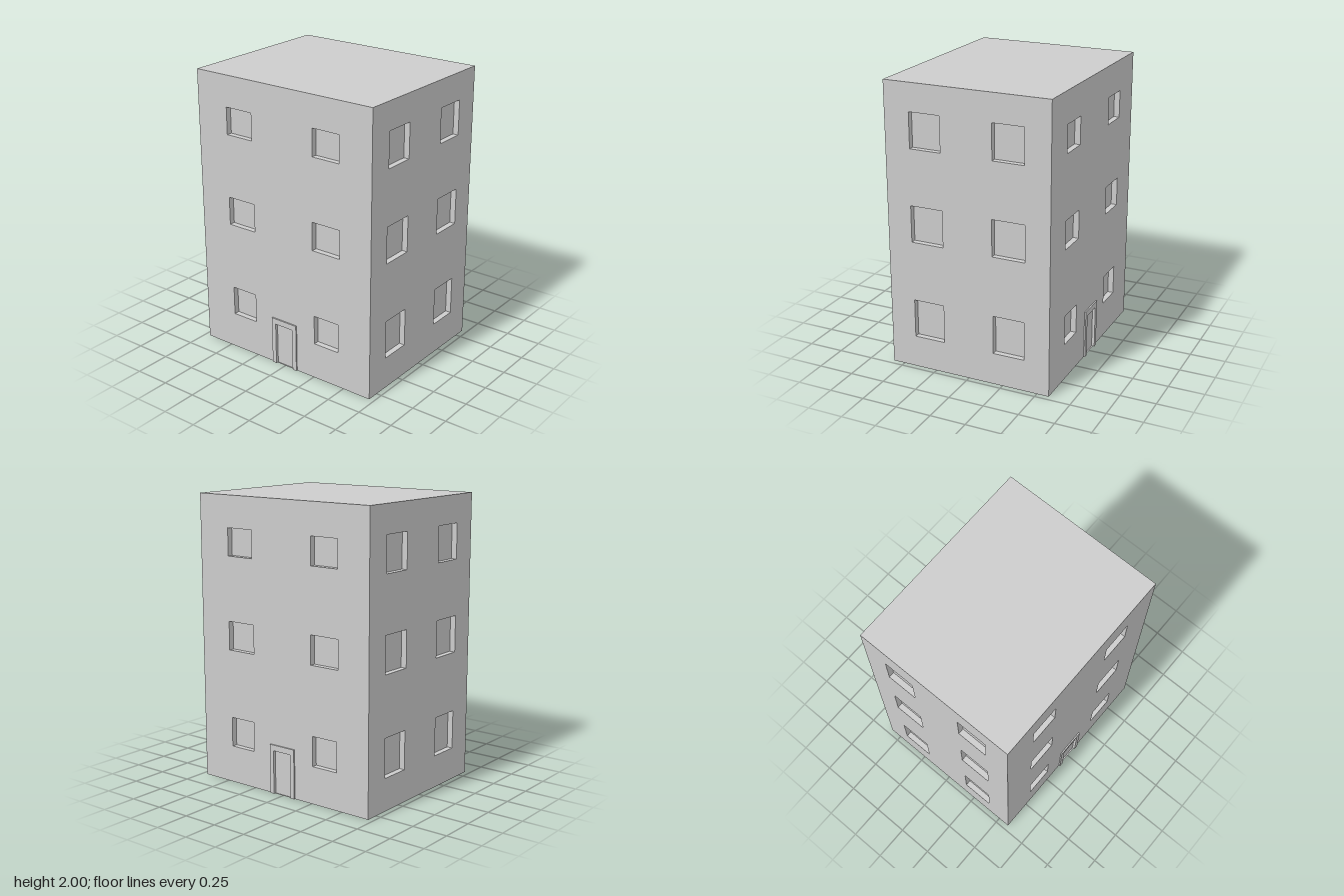
import * as THREE from 'three';

const W = 0.713, D = 0.585, H = 2; // half width, half depth, height
const RECESS = 0.04, DOOR = { x: 0.073, h: 0.305, recess: 0.01 };
const FRAME = { x: 0.105, h: 0.345, depth: 0.01 };

// Window rows: inner and outer distance from the wall's middle, bottom and top
const frontRows = [
  [0.257, 0.457, 0.26, 0.467],
  [0.246, 0.468, 0.944, 1.144],
  [0.251, 0.464, 1.591, 1.781],
];
const sideRows = [
  [0.183, 0.405, 0.226, 0.497],
  [0.178, 0.411, 0.916, 1.172],
  [0.183, 0.405, 1.562, 1.807],
];

const grey = new THREE.MeshStandardMaterial({ color: 0xcccccc });
grey.name = 'plain grey';

function mesh(name, geometry) {
  const m = new THREE.Mesh(geometry, grey);
  m.name = name;
  return m;
}

const outline = (pts) => pts.map(([x, y]) => new THREE.Vector2(x, y));

// Box turned inside out and open towards +z, sunk behind z = 0
function recess(name, x0, x1, y0, y1, depth) {
  const g = new THREE.BoxGeometry(x1 - x0, y1 - y0, depth);
  const idx = Array.from(g.index.array);
  idx.splice(24, 6);
  g.setIndex(idx.reverse());
  const n = g.attributes.normal;
  for (let i = 0; i < n.array.length; i++) n.array[i] *= -1;
  g.clearGroups();
  g.translate((x0 + x1) / 2, (y0 + y1) / 2, -depth / 2);
  return mesh(name, g);
}

// Wall facing +z with two columns of sunk windows and, if asked, a door
function wall(name, half, rows, withDoor) {
  const group = new THREE.Group();
  group.name = name;
  const notch = withDoor
    ? [[-DOOR.x, 0], [-DOOR.x, DOOR.h], [DOOR.x, DOOR.h], [DOOR.x, 0]]
    : [];
  const shape = new THREE.Shape(outline([[-half, 0], ...notch, [half, 0], [half, H], [-half, H]]));
  for (const [a, b, y0, y1] of rows) {
    for (const [x0, x1] of [[-b, -a], [a, b]]) {
      shape.holes.push(new THREE.Path(outline([[x0, y0], [x0, y1], [x1, y1], [x1, y0]])));
      group.add(recess('window', x0, x1, y0, y1, RECESS));
    }
  }
  group.add(mesh('wallFace', new THREE.ShapeGeometry(shape)));

  if (withDoor) {
    group.add(recess('door', -DOOR.x, DOOR.x, 0, DOOR.h, DOOR.recess));
    // Raised surround, open at the foot
    const surround = new THREE.Shape(outline([
      [-FRAME.x, 0], [-DOOR.x, 0], [-DOOR.x, DOOR.h], [DOOR.x, DOOR.h],
      [DOOR.x, 0], [FRAME.x, 0], [FRAME.x, FRAME.h], [-FRAME.x, FRAME.h],
    ]));
    group.add(mesh('doorFrame', new THREE.ExtrudeGeometry(surround, { depth: FRAME.depth, bevelEnabled: false })));
  }
  return group;
}

export function createModel() {
  const model = new THREE.Group();
  model.name = 'apartmentBlock';

  // Four walls, turned outwards
  [
    ['frontWall', W, frontRows, true, D],
    ['leftWall', D, sideRows, false, W],
    ['backWall', W, frontRows, true, D],
    ['rightWall', D, sideRows, false, W],
  ].forEach(([name, half, rows, door, distance], i) => {
    const w = wall(name, half, rows, door);
    const angle = (i * Math.PI) / 2;
    w.rotation.y = angle;
    w.position.set(Math.sin(angle) * distance, 0, Math.cos(angle) * distance);
    model.add(w);
  });

  // Flat roof and underside
  const roof = mesh('roof', new THREE.PlaneGeometry(2 * W, 2 * D));
  roof.rotation.x = -Math.PI / 2;
  roof.position.y = H;
  const base = mesh('underside', new THREE.PlaneGeometry(2 * W, 2 * D));
  base.rotation.x = Math.PI / 2;
  model.add(roof, base);

  return model;
}
